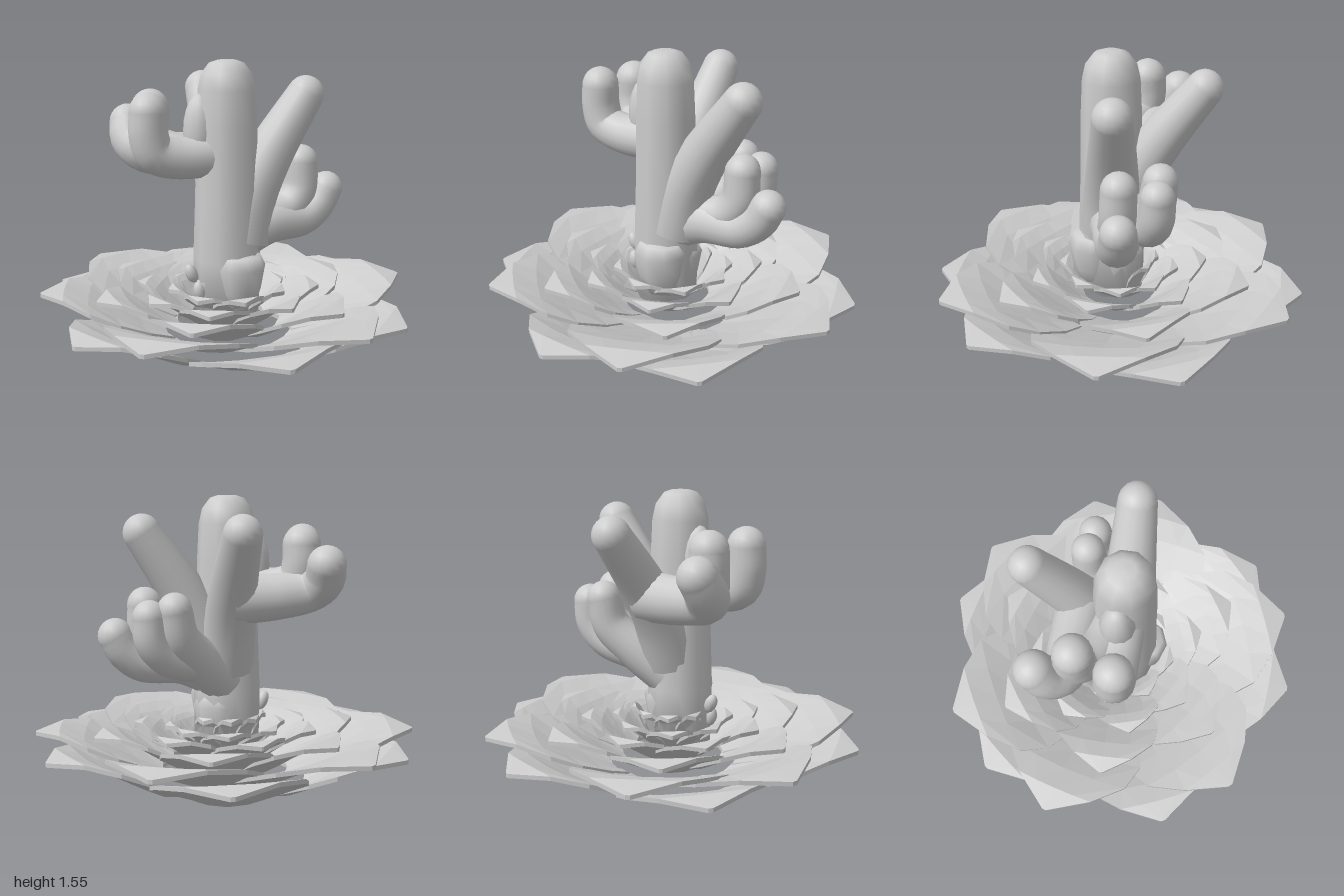
import * as THREE from 'three';
import { mergeGeometries } from 'three/addons/utils/BufferGeometryUtils.js';

const grey = new THREE.MeshStandardMaterial({ color: 0xcccccc });
grey.name = 'stoneGrey';

function add(group, name, geometry) {
  const mesh = new THREE.Mesh(geometry, grey);
  mesh.name = name;
  group.add(mesh);
  return mesh;
}

function facet(geometry) {
  const g = geometry.toNonIndexed();
  g.computeVertexNormals();
  return g;
}

// Half width, rise and reach of a petal, from its root to its tip
const WIDTH = [0.55, 0.85, 1, 0.92, 0.56, 0.03];
const RISE = [0, 0.27, 0.6, 0.9, 1.08, 1];
const REACH = [0, 0.2, 0.42, 0.62, 0.81, 1];

// A thin slab bent into a cupped, pointed petal that grows along +z
function petalGeometry({ r0, r1, w, y0, y1 }) {
  const g = new THREE.BoxGeometry(2, 1, 5, 4, 1, 5);
  const p = g.attributes.position;
  for (let i = 0; i < p.count; i++) {
    const t = p.getX(i);
    const row = Math.round(p.getZ(i) + 2.5);
    const s = REACH[row];
    const cup = WIDTH[row] * (t * t * (0.06 - 0.08 * s) + 0.02 * t * s) * w / 0.37;
    const y = y0 + (y1 - y0) * RISE[row] + cup + (p.getY(i) + 0.5) * 0.022;
    const z = r0 + (r1 - r0) * s - t * t * WIDTH[row] * w * 0.2 * (1 - s);
    p.setXYZ(i, t * w * WIDTH[row], Math.max(0, y), z);
  }
  return facet(g);
}

// A rounded limb whose radius changes evenly along a smooth path
function limbGeometry(points, ra, rb) {
  const curve = new THREE.CatmullRomCurve3(points.map(q => new THREE.Vector3(...q)));
  const rows = 20, sides = 16;
  const tube = new THREE.TubeGeometry(curve, rows, 1, sides);
  const p = tube.attributes.position, v = new THREE.Vector3();
  for (let i = 0; i < p.count; i++) {
    const u = Math.floor(i / (sides + 1)) / rows;
    const c = curve.getPointAt(u);
    v.fromBufferAttribute(p, i).sub(c).multiplyScalar(ra + (rb - ra) * u).add(c);
    p.setXYZ(i, v.x, v.y, v.z);
  }
  const tip = new THREE.SphereGeometry(rb, 16, 12).translate(...points[points.length - 1]);
  return mergeGeometries([tube, tip]);
}

function lathe(profile, sides) {
  return new THREE.LatheGeometry(profile.map(q => new THREE.Vector2(...q)), sides);
}

export function createModel() {
  const model = new THREE.Group();
  model.name = 'cactusInRosette';

  // Petal rosette, outermost ring first; angles run from +x towards +z
  const rings = [
    { name: 'lowerPetal', r0: 0.43, r1: 1.01, w: 0.38, y0: 0, y1: 0.23, angles: [-78, -16, 49, 95, 158, 220] },
    { name: 'upperPetal', r0: 0.34, r1: 1.01, w: 0.39, y0: 0.06, y1: 0.29, angles: [7, 70, 134, 196, 241, 303] },
    { name: 'middlePetal', r0: 0.27, r1: 0.73, w: 0.29, y0: 0.1, y1: 0.3, angles: [-10, 59, 125, 180, 234, 289] },
    { name: 'innerPetal', r0: 0.2, r1: 0.5, w: 0.2, y0: 0.14, y1: 0.3, angles: [20, 70, 122, 165, 210, 262, 320] },
    { name: 'heartPetal', r0: 0.13, r1: 0.33, w: 0.14, y0: 0.18, y1: 0.31, angles: [0, 45, 95, 140, 185, 230, 280, 325] },
    { name: 'footPetal', r0: 0.12, r1: 0.22, w: 0.085, y0: 0.2, y1: 0.36, angles: [155, 195, 235, 275, 315] },
  ];
  const rosette = new THREE.Group();
  rosette.name = 'rosette';
  model.add(rosette);
  for (const ring of rings) {
    const geometry = petalGeometry(ring);
    for (const a of ring.angles) {
      add(rosette, ring.name, geometry).rotation.y = Math.PI / 2 - THREE.MathUtils.degToRad(a);
    }
  }

  // Trunk with a blunt domed top
  const trunk = lathe([[0, 0.2], [0.175, 0.2], [0.18, 0.5], [0.167, 0.85], [0.16, 1.2],
    [0.15, 1.4], [0.132, 1.48], [0.09, 1.535], [0.05, 1.548], [0, 1.55]], 10);
  add(model, 'trunk', trunk).position.set(-0.02, 0, 0.04);

  // Swelling high on the trunk
  const swelling = add(model, 'trunkSwelling', new THREE.SphereGeometry(1, 12, 10));
  swelling.position.set(-0.16, 1.18, 0.02);
  swelling.scale.set(0.09, 0.2, 0.09);

  // Broad sheaths wrapped round the foot of the trunk, narrowing downwards
  const sheath = lathe([[0, 0], [0.09, 0.02], [0.125, 0.12], [0.148, 0.25], [0.12, 0.31], [0, 0.33]], 9);
  add(model, 'frontSheath', sheath).position.set(0.01, 0.22, 0.13);
  add(model, 'sideSheath', sheath).position.set(0.02, 0.18, 0.01);

  // Buds on the side of the foot
  for (const [x, y, z, tilt] of [[-0.225, 0.43, 0.05, 0.4], [-0.195, 0.34, 0.09, 0.2]]) {
    const bud = add(model, 'bud', new THREE.SphereGeometry(1, 10, 8));
    bud.position.set(x, y, z);
    bud.rotation.z = tilt;
    bud.scale.set(0.033, 0.055, 0.033);
  }

  // Arms: path, radius at the root, radius at the tip
  const arms = [
    ['rightArm', [[-0.08, 1.06, 0.04], [-0.3, 1.055, 0.04], [-0.41, 1.09, 0.04], [-0.443, 1.18, 0.04], [-0.443, 1.3, 0.04]], 0.115, 0.098],
    ['rightRearArm', [[-0.06, 1.04, 0], [-0.25, 1.06, -0.07], [-0.35, 1.11, -0.14], [-0.37, 1.2, -0.165], [-0.37, 1.295, -0.165]], 0.11, 0.1],
    ['rearArm', [[0, 0.66, -0.01], [0, 0.88, -0.1], [0.01, 1.08, -0.22], [0.02, 1.36, -0.435]], 0.155, 0.098],
    ['rearFork', [[0.01, 1.02, -0.18], [-0.22, 1.03, -0.2], [-0.4, 1.06, -0.22], [-0.45, 1.12, -0.29], [-0.443, 1.2, -0.345]], 0.135, 0.1],
    ['leftArm', [[0.05, 0.6, 0.04], [0.11, 0.82, 0.04], [0.22, 1.035, 0.04], [0.435, 1.355, 0.04]], 0.165, 0.1],
    ['leftLowArm', [[0.02, 0.6, 0.03], [0.22, 0.67, 0.03], [0.44, 0.68, 0.02], [0.54, 0.75, 0.015], [0.585, 0.825, 0.015]], 0.14, 0.092],
    ['leftMiddleArm', [[0.2, 0.7, 0.03], [0.35, 0.74, 0.02], [0.42, 0.83, 0.015], [0.43, 0.985, 0.01]], 0.1, 0.092],
    ['leftRearArm', [[0.02, 0.58, -0.02], [0.16, 0.7, -0.11], [0.28, 0.83, -0.18], [0.31, 0.975, -0.2]], 0.13, 0.09],
    ['leftRearFork', [[0.14, 0.68, -0.09], [0.34, 0.73, -0.15], [0.42, 0.82, -0.175], [0.435, 0.94, -0.18]], 0.11, 0.088],
  ];
  for (const [name, path, ra, rb] of arms) add(model, name, limbGeometry(path, ra, rb));

  return model;
}
